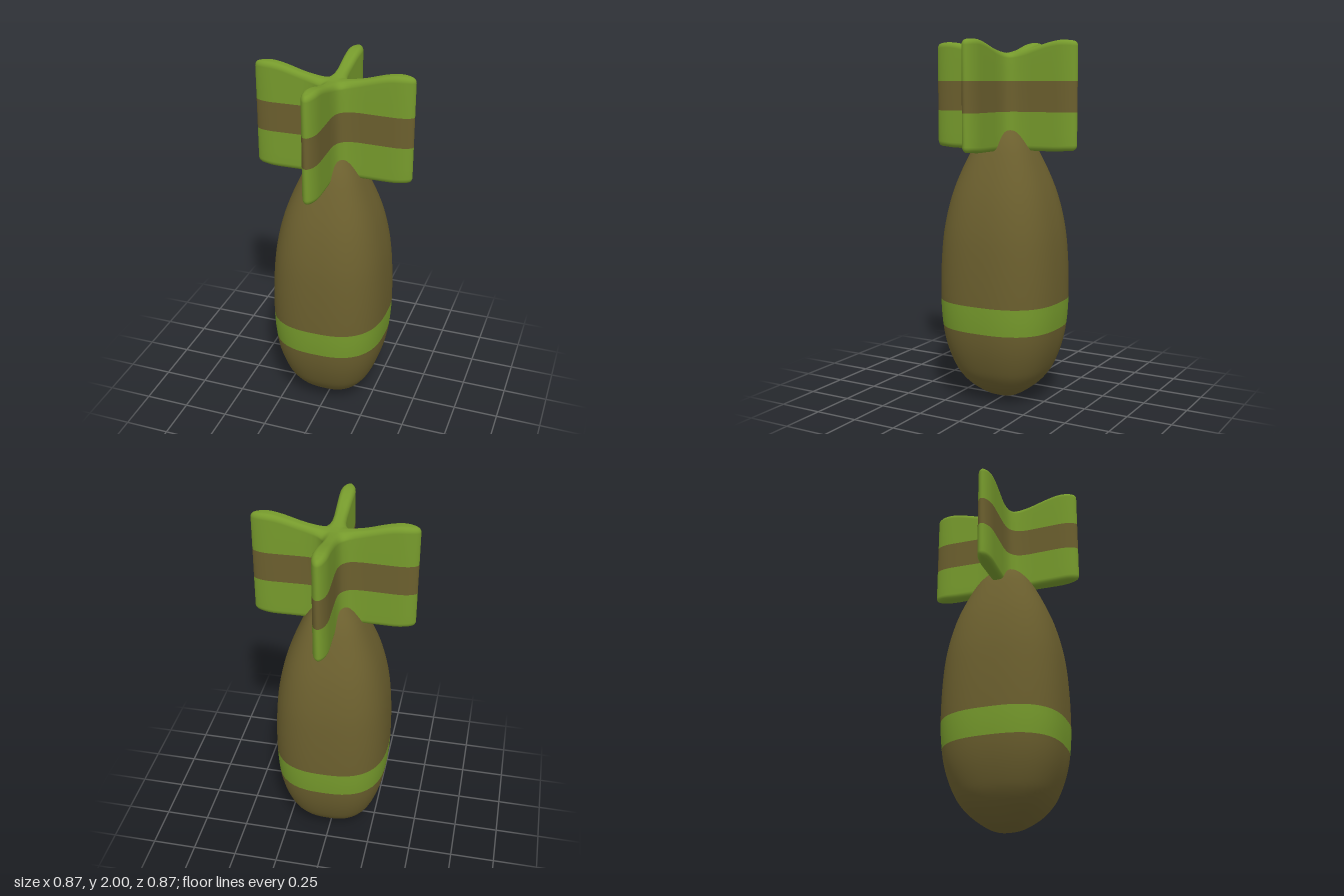
import * as THREE from 'three';
import { mergeVertices } from 'three/addons/utils/BufferGeometryUtils.js';

const brown = new THREE.MeshStandardMaterial({ color: 0x6b5f2e });
const green = new THREE.MeshStandardMaterial({ color: 0x769a2c });

// Body profile: [half width, height]; the paint band lies between points 6 and 7
const PROFILE = [
  [0, 0], [0.085, 0.025], [0.17, 0.085], [0.225, 0.15], [0.26, 0.22], [0.292, 0.32],
  [0.311, 0.43], [0.32, 0.58], [0.316, 0.8], [0.297, 1.0], [0.25, 1.2], [0.168, 1.4],
  [0.105, 1.495], [0.06, 1.53], [0, 1.545],
];
const STEPS = 5;

// Lathe slice whose round section is pushed out to a soft square
function bodySlice(points) {
  let geo = new THREE.LatheGeometry(points, 56);
  const pos = geo.attributes.position;
  const n = 2.7;
  for (let i = 0; i < pos.count; i++) {
    const x = pos.getX(i), z = pos.getZ(i), r = Math.hypot(x, z);
    if (r < 1e-6) continue;
    const f = (Math.abs(x / r) ** n + Math.abs(z / r) ** n) ** (-1 / n);
    pos.setX(i, x * f);
    pos.setZ(i, z * f * 1.06);
  }
  geo.deleteAttribute('uv');
  geo.deleteAttribute('normal');
  geo = mergeVertices(geo, 1e-5);
  geo.computeVertexNormals();
  return geo;
}

// One side of a fin seen from above, from the inner fillet to the tip: [along, half thickness]
const ARM = [[0.062, 0.062], [0.072, 0.053], [0.085, 0.045], [0.11, 0.038], [0.15, 0.035]];
for (let s = 0.18; s < 0.335; s += 0.03) ARM.push([s, 0.035 + 0.005 * (s - 0.15) / 0.18]);
for (let i = 1; i <= 8; i++) {
  const a = (i / 8) * Math.PI / 2;
  ARM.push([0.335 + 0.1 * Math.sin(a), i === 8 ? 0 : 0.04 * Math.cos(a)]);
}
const N = ARM.length - 1;
const LOOP = 8 * N;

const smooth = THREE.MathUtils.smoothstep;
const finTop = (s) => 1.935 + 0.065 * smooth(s, 0.04, 0.36) - 0.004 * smooth(s, 0.39, 0.44);
const finBottom = (s) => 1.41 + 0.006 * smooth(s, 0.3, 0.44);

// Cross-shaped loop; k shrinks it for the rounded rims, height(s) gives y along each fin
function crossLoop(height, k) {
  const out = [];
  for (let arm = 0; arm < 4; arm++) {
    const c = Math.round(Math.cos(arm * Math.PI / 2)), d = Math.round(Math.sin(arm * Math.PI / 2));
    for (let j = 0; j < 2 * N; j++) {
      const [s, w] = ARM[j <= N ? j : 2 * N - j];
      const pull = 0.062 * (1 - smooth(s, 0.062, 0.2)) + 0.045 * smooth(s, 0.3, 0.435);
      const a = s - k * pull;
      const t = (j <= N ? -w : w) * (1 - k);
      out.push(a * c - t * d, height(s), a * d + t * c);
    }
  }
  return out;
}

// Skin between stacked loops, with optional end caps
function finSlice(layers, capBottom, capTop) {
  const pos = layers.flatMap(([h, k]) => crossLoop(h, k));
  const idx = [];
  const quad = (a, b, c, d) => idx.push(a, b, c, a, c, d);
  for (let l = 0; l < layers.length - 1; l++) {
    for (let j = 0; j < LOOP; j++) {
      const j2 = (j + 1) % LOOP, lo = l * LOOP, hi = lo + LOOP;
      quad(lo + j, hi + j, hi + j2, lo + j2);
    }
  }
  const cap = (base, up) => {
    const face = (a, b, c, d) => (up ? quad(d, c, b, a) : quad(a, b, c, d));
    const at = (i) => base + (i % LOOP);
    for (let arm = 0; arm < 4; arm++) {
      const o = arm * 2 * N;
      for (let j = 0; j < N; j++) face(at(o + j), at(o + j + 1), at(o + 2 * N - j - 1), at(o + 2 * N - j));
    }
    face(at(0), at(2 * N), at(4 * N), at(6 * N));
  };
  if (capBottom) cap(0, false);
  if (capTop) cap((layers.length - 1) * LOOP, true);
  const geo = new THREE.BufferGeometry();
  geo.setAttribute('position', new THREE.Float32BufferAttribute(pos, 3));
  geo.setIndex(idx);
  geo.computeVertexNormals();
  return geo;
}

export function createModel() {
  const model = new THREE.Group();
  const add = (name, geo, mat, parent) => {
    const mesh = new THREE.Mesh(geo, mat);
    mesh.name = name;
    parent.add(mesh);
  };

  // Body in three painted slices
  const body = new THREE.Group();
  body.name = 'body';
  const curve = new THREE.SplineCurve(PROFILE.map(([r, y]) => new THREE.Vector2(r, y)));
  const pts = curve.getPoints((PROFILE.length - 1) * STEPS);
  pts.forEach((p) => { p.x = Math.max(p.x, 0); });
  pts[pts.length - 1].x = 0;
  const a = 6 * STEPS, b = 7 * STEPS;
  add('nose', bodySlice(pts.slice(0, a + 1)), brown, body);
  add('bodyBand', bodySlice(pts.slice(a, b + 1)), green, body);
  add('upperBody', bodySlice(pts.slice(b)), brown, body);
  model.add(body);

  // Four joined tail fins with rounded rims and a painted band
  const fins = new THREE.Group();
  fins.name = 'tailFins';
  const rim = [0, 1, 2, 3, 4, 5].map((i) => {
    const t = (i / 5) * Math.PI / 2;
    return [0.03 * (1 - Math.cos(t)), 0.65 * (1 - Math.sin(t))];
  });
  const flat = (y) => [() => y, 0];
  const lower = rim.map(([dy, k]) => [(s) => finBottom(s) + dy, k]);
  const upper = rim.map(([dy, k]) => [(s) => finTop(s) - dy, k]).reverse();
  add('finsLower', finSlice([...lower, flat(1.5), flat(1.62)], true, false), green, fins);
  add('finsBand', finSlice([flat(1.62), flat(1.785)], false, false), brown, fins);
  add('finsUpper', finSlice([flat(1.785), flat(1.84), ...upper], false, true), green, fins);
  model.add(fins);

  return model;
}
